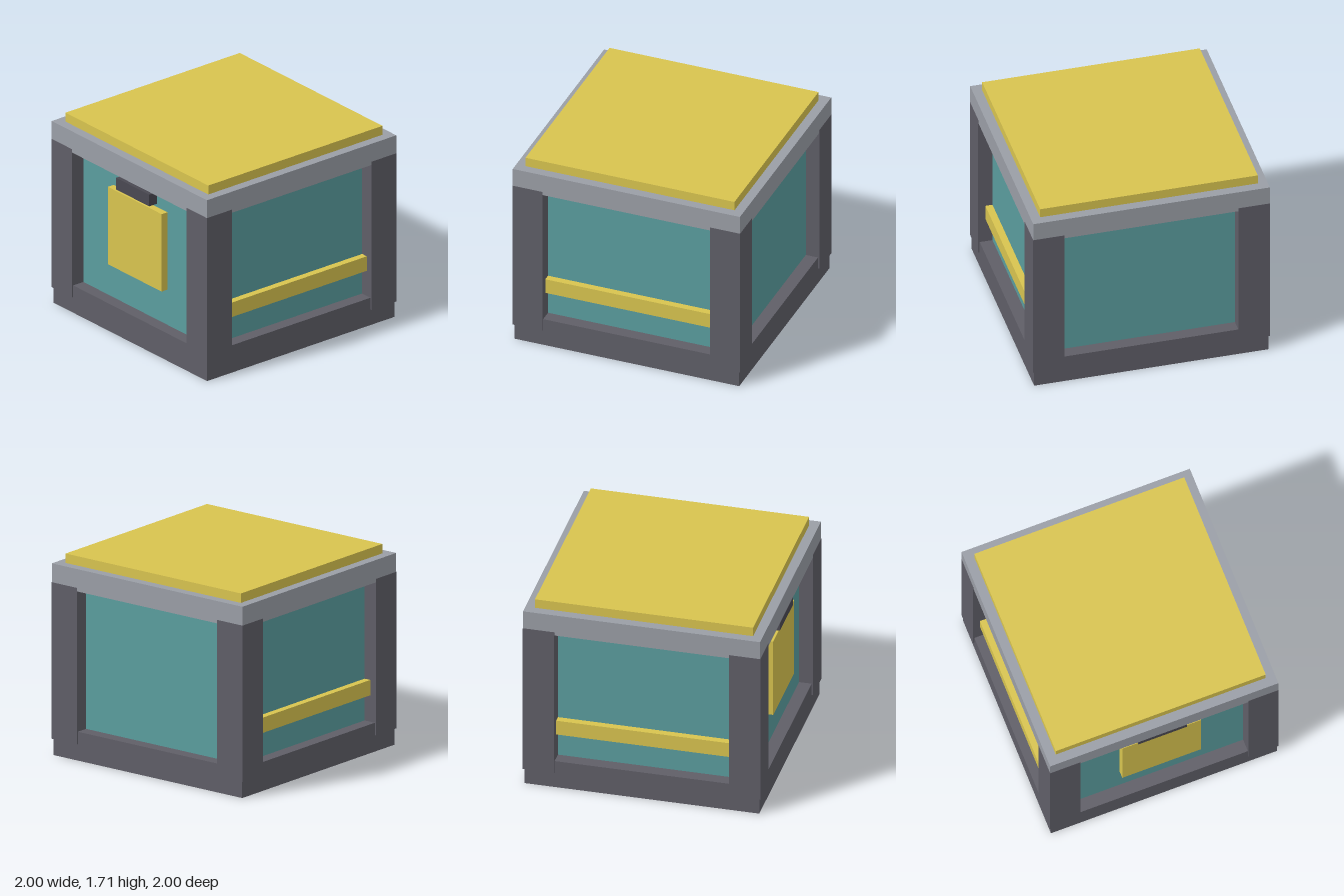
import * as THREE from 'three';

const material = (color) => new THREE.MeshStandardMaterial({ color });

export function createModel() {
  const group = new THREE.Group();
  const dark = material(0x5f5e67);
  const darker = material(0x4a4952);
  const grey = material(0x9a9ea6);
  const teal = material(0x5a9d9e);
  const yellow = material(0xd8c44f);

  // Box given by its centre in x and z, its bottom and top, and its width and depth
  function box(name, mat, width, depth, bottom, top, x = 0, z = 0) {
    const mesh = new THREE.Mesh(new THREE.BoxGeometry(width, top - bottom, depth), mat);
    mesh.name = name;
    mesh.position.set(x, (bottom + top) / 2, z);
    group.add(mesh);
  }

  // Crate body on its plinth
  box('base', dark, 1.975, 1.975, 0, 0.245);
  box('body', teal, 1.76, 1.76, 0.2, 1.5);

  // Lid with raised top panel
  box('lid', grey, 1.996, 1.996, 1.44, 1.63);
  box('lidPanel', yellow, 1.836, 1.836, 1.62, 1.71);

  // Corner posts, just proud of the lid
  for (const x of [-1, 1]) {
    for (const z of [-1, 1]) {
      box('cornerPost', dark, 0.265, 0.265, 0.14, 1.47, x * 0.8675, z * 0.8675);
    }
  }

  // Side rails
  for (const side of [-1, 1]) {
    box('sideRail', yellow, 0.08, 1.5, 0.47, 0.6, side * 0.9);
  }

  // Front plate and the latch above it
  box('frontPlate', yellow, 0.69, 0.08, 0.56, 1.255, 0, 0.9);
  box('latch', darker, 0.426, 0.1, 1.285, 1.39, 0, 0.913);

  return group;
}
